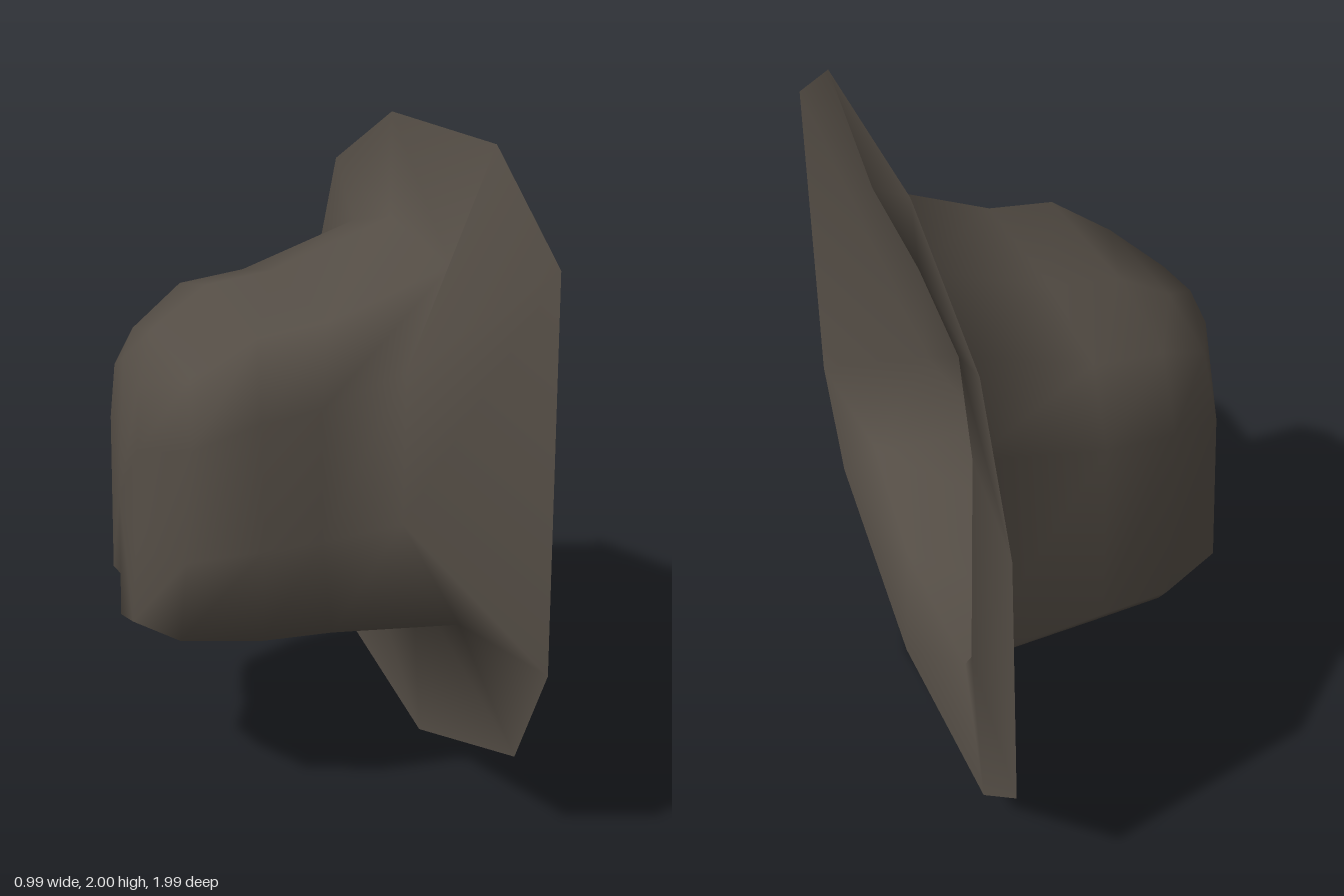
import * as THREE from 'three';

// Outer edge of the flange as [z, y], lying in one upright plane
const RIM_X = 0.49;
const rim = [[.95, 1.73], [.53, 2], [-.26, 2], [-.78, 1.78], [-.99, 1.35],
  [-.99, .45], [-.69, .13], [.11, 0], [.82, .26], [1, .6]];

// Shared chamber section: u runs back to front (-1..1), v floor to roof (0..1)
const section = [[.97, .72], [.9, .96], [-.2, 1], [-.8, .94], [-1, .72],
  [-1, .1], [-.9, .03], [.1, 0], [.95, .05], [1, .34]];

// Stations from the mouth to the rear wall. pull draws the front wall inward,
// lean tilts the front wall back towards the roof, cut trims the rear floor corner.
const stations = [
  { xTop: .44, xFloor: .48, floor: .5, roof: 1.69, front: .55, back: -.58, pull: .25, lean: .14, cut: 0 },
  { xTop: .05, xFloor: .05, floor: .52, roof: 1.54, front: .51, back: -.56, pull: .05, lean: .1, cut: 0 },
  { xTop: -.17, xFloor: -.17, floor: .52, roof: 1.51, front: .5, back: -.54, pull: 0, lean: .06, cut: 0 },
  { xTop: -.35, xFloor: -.4, floor: .52, roof: 1.39, front: .41, back: -.42, pull: 0, lean: 0, cut: .04 },
  { xTop: -.46, xFloor: -.5, floor: .52, roof: 1.33, front: .21, back: -.16, pull: 0, lean: 0, cut: .1 },
];

// Place the shared section at one station
function placeSection({ xTop, xFloor, floor, roof, front, back, pull, lean, cut }) {
  return section.map(([u, v]) => {
    const toFront = Math.max(0, u), toBack = Math.max(0, -u);
    const x = THREE.MathUtils.lerp(xFloor, xTop, v)
      - pull * toFront ** 2 * 4 * v * (1 - v)
      + cut * toBack * Math.max(0, 1 - 8 * v);
    const across = u - toFront * lean * v;
    return [x, THREE.MathUtils.lerp(floor, roof, v), THREE.MathUtils.lerp(back, front, (across + 1) / 2)];
  });
}

export function createModel() {
  const group = new THREE.Group();
  const stone = new THREE.MeshStandardMaterial({ color: 0x544d45, side: THREE.DoubleSide });
  stone.name = 'dark stone';

  const rings = [rim.map(([z, y]) => [RIM_X, y, z]), ...stations.map(placeSection)];
  const n = section.length;
  const positions = [...rings.flat(2), -.49, .9, .02];
  const index = [];
  // skin of the flange and chamber
  for (let r = 0; r < rings.length - 1; r++) {
    for (let i = 0; i < n; i++) {
      const a = r * n + i, b = r * n + (i + 1) % n;
      index.push(a, b, a + n, b, b + n, a + n);
    }
  }
  // rear wall fan
  const last = (rings.length - 1) * n;
  for (let i = 0; i < n; i++) index.push(last + i, last + (i + 1) % n, last + n);

  const geometry = new THREE.BufferGeometry();
  geometry.setAttribute('position', new THREE.Float32BufferAttribute(positions, 3));
  geometry.setIndex(index);
  geometry.computeVertexNormals();
  const shell = new THREE.Mesh(geometry, stone);
  shell.name = 'caveShell';
  group.add(shell);
  return group;
}
